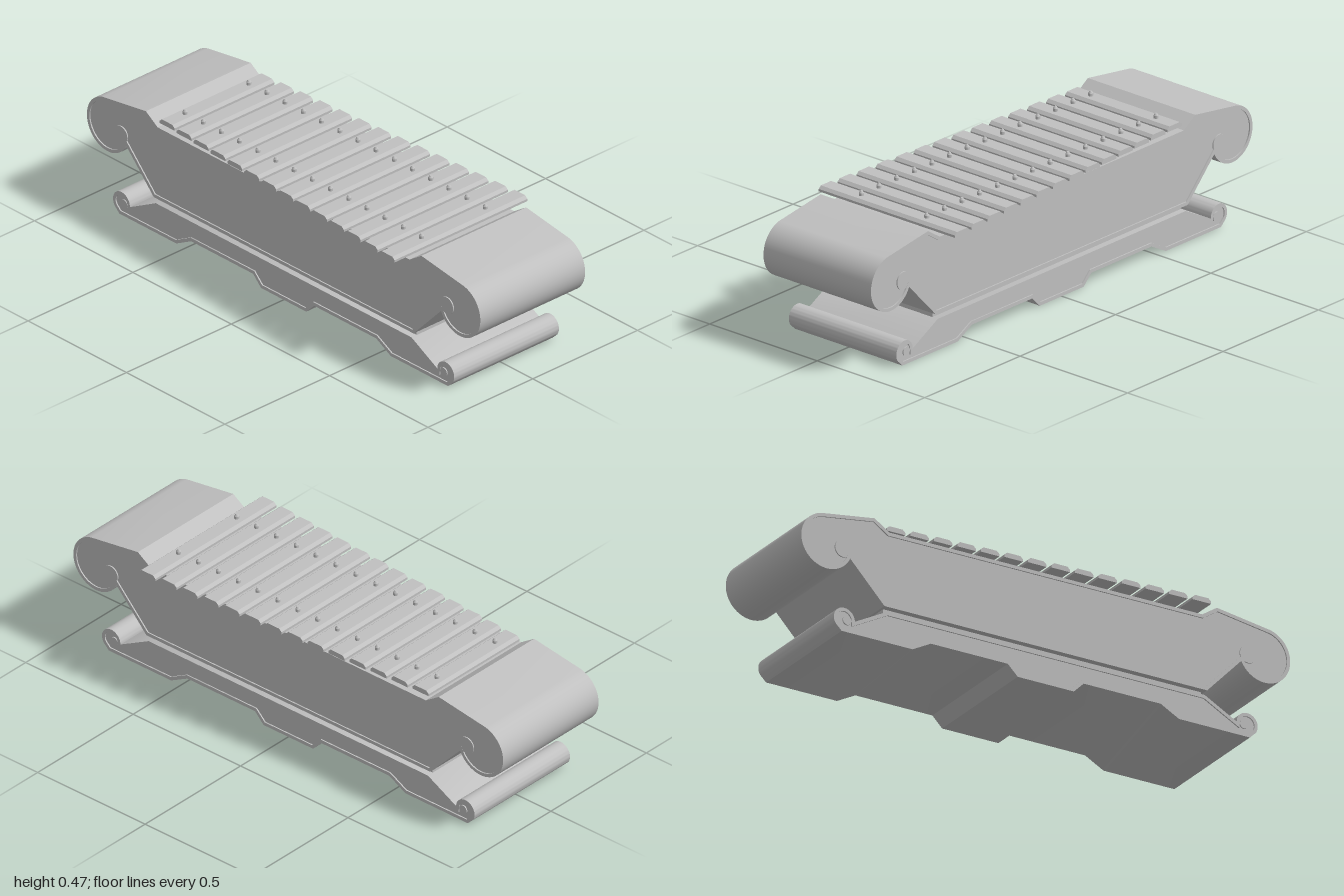
import * as THREE from 'three';
import { toCreasedNormals } from 'three/addons/utils/BufferGeometryUtils.js';

const grey = new THREE.MeshStandardMaterial({ color: 0xc0c0c0 });
grey.name = 'grey';

const DEPTH = 0.5, RIM = 0.013, RECESS = 0.005;

// points along an arc, angles in degrees
function arc(cx, cy, r, from, to, n) {
  return Array.from({ length: n + 1 }, (_, i) => {
    const a = THREE.MathUtils.degToRad(from + (to - from) * i / n);
    return [cx + r * Math.cos(a), cy + r * Math.sin(a)];
  });
}

// right half (bottom to top) becomes a closed counter-clockwise outline
function mirrored(half) {
  const left = half.map(([x, y]) => [-x, y]).reverse();
  return [...half, ...left].map(([x, y]) => new THREE.Vector2(x, y));
}

// move every edge inwards by d
function inset(points, d) {
  const n = points.length;
  return points.map((p, i) => {
    const a = p.clone().sub(points[(i + n - 1) % n]).normalize();
    const b = points[(i + 1) % n].clone().sub(p).normalize();
    const normal = new THREE.Vector2(-a.y - b.y, a.x + b.x).normalize();
    const k = Math.max(0.5, normal.dot(new THREE.Vector2(-a.y, a.x)));
    return p.clone().addScaledVector(normal, d / k);
  });
}

function add(group, name, geometry, x = 0, y = 0, z = 0) {
  const mesh = new THREE.Mesh(geometry, grey);
  mesh.name = name;
  mesh.position.set(x, y, z);
  group.add(mesh);
  return mesh;
}

function extrude(shape, depth) {
  const g = new THREE.ExtrudeGeometry(shape, { depth, bevelEnabled: false });
  g.translate(0, 0, -depth / 2);
  return toCreasedNormals(g, 0.5);
}

// slab with a raised rim around slightly sunken side panels
function rimmedSlab(group, name, outline) {
  const inner = inset(outline, RIM);
  const rim = new THREE.Shape(outline);
  rim.holes.push(new THREE.Path(inner.slice().reverse()));
  add(group, name + 'Rim', extrude(rim, DEPTH));
  add(group, name + 'Panel', extrude(new THREE.Shape(inner), DEPTH - 2 * RECESS));
}

function eye(group, name, x, y, r) {
  for (const s of [-1, 1]) {
    const g = new THREE.CylinderGeometry(r, r, DEPTH - 0.001, 32).rotateX(Math.PI / 2);
    add(group, name, g, s * x, y, 0);
  }
}

export function createModel() {
  const model = new THREE.Group();
  model.name = 'xylophone';

  // Resonator body with large scroll ends
  const body = new THREE.Group();
  body.name = 'body';
  model.add(body);
  rimmedSlab(body, 'body', mirrored([
    [0.66, 0.138],
    ...arc(0.895, 0.33, 0.105, -155, 78, 40),
    [0.70, 0.465], [0.64, 0.425],
  ]));
  eye(body, 'bodyScrollEye', 0.828, 0.318, 0.033);

  // Footed base with small scroll ends
  const base = new THREE.Group();
  base.name = 'base';
  model.add(base);
  rimmedSlab(base, 'base', mirrored([
    [0.115, 0], [0.155, 0.04], [0.47, 0.04], [0.545, 0], [0.835, 0],
    ...arc(0.824, 0.048, 0.043, -36, 180, 26),
    [0.65, 0.118],
  ]));
  eye(base, 'baseScrollEye', 0.812, 0.046, 0.017);

  // Narrow neck between base and body
  add(model, 'neck', new THREE.BoxGeometry(1.3, 0.04, 0.45), 0, 0.128, 0);

  // Chamfered bars, growing longer towards the model's left, with pins
  const section = new THREE.Shape([
    [-0.038, 0.437], [0.038, 0.437], [0.038, 0.446],
    [0.027, 0.456], [-0.027, 0.456], [-0.038, 0.446],
  ].map(([x, y]) => new THREE.Vector2(x, y)));
  const pin = toCreasedNormals(new THREE.LatheGeometry([
    [0.005, 0.415], [0.005, 0.456], [0.009, 0.456], [0.009, 0.466], [0.004, 0.474], [0, 0.474],
  ].map(([x, y]) => new THREE.Vector2(x, y)), 12), 0.5);
  const count = 14;
  for (let i = 0; i < count; i++) {
    const t = i / (count - 1);
    const bar = new THREE.Group();
    bar.name = 'bar' + (i + 1);
    bar.position.x = -0.605 + 1.202 * t;
    add(bar, 'barPlate', extrude(section, 2 * (0.238 + 0.079 * t)));
    for (const s of [-1, 1]) add(bar, 'barPin', pin, 0, 0, s * 0.152);
    model.add(bar);
  }
  return model;
}
